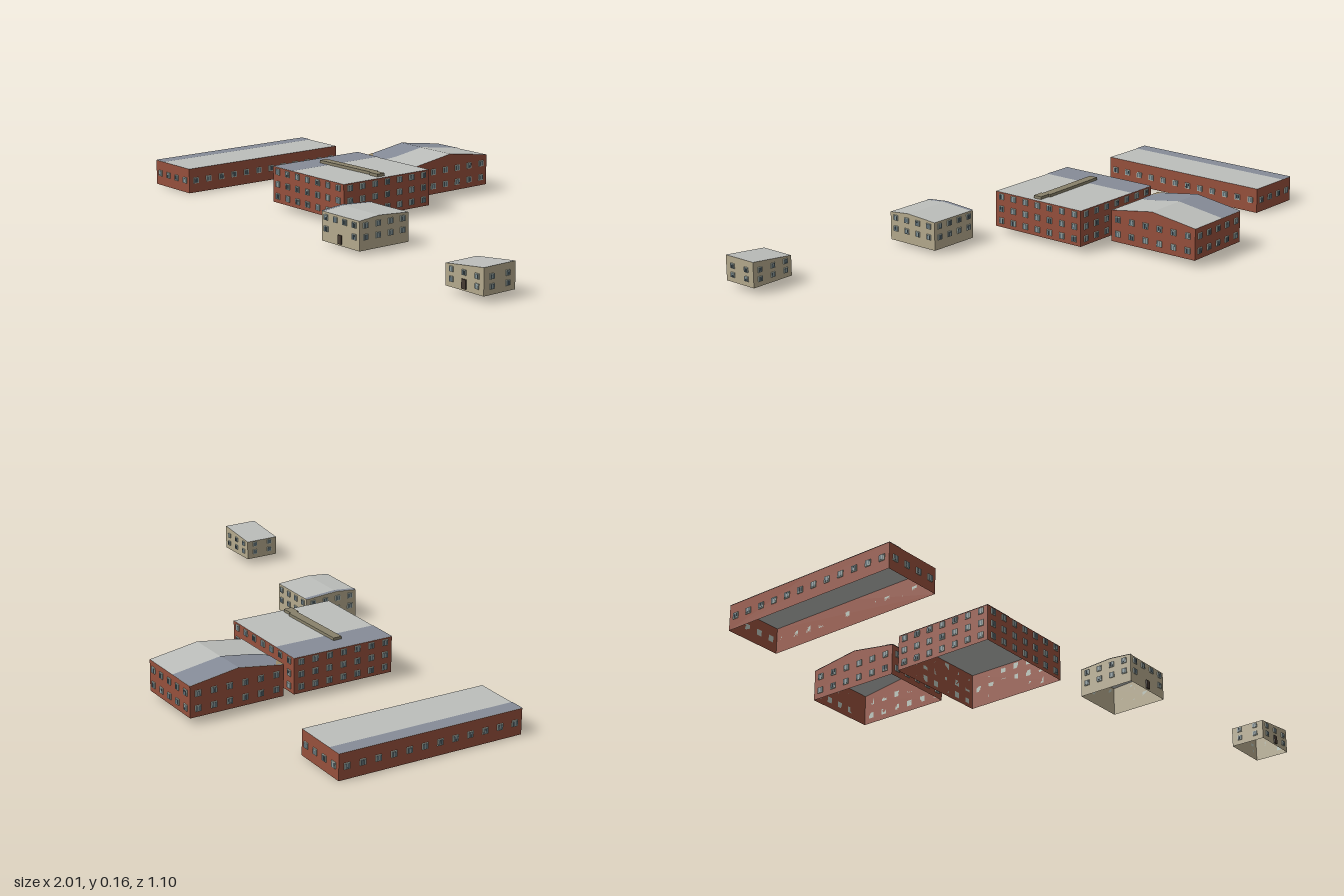
import * as THREE from 'three';

const mat = (name, color, side = THREE.FrontSide) => {
  const m = new THREE.MeshStandardMaterial({ color, side });
  m.name = name;
  return m;
};
const brick = mat('brick', 0x96503c, THREE.DoubleSide);
const cream = mat('cream render', 0xb5aa8d, THREE.DoubleSide);
const roofGrey = mat('roof grey', 0xbcbebb, THREE.DoubleSide);
const slate = mat('roof slate blue', 0x868c98, THREE.DoubleSide);
const tan = mat('roof tan', 0xa08e6c, THREE.DoubleSide);
const olive = mat('duct olive', 0x88816a);
const frame = mat('window frame', 0xb9c4ba);
const glass = mat('window glass', 0x5f7078);
const doorBrown = mat('door brown', 0x463a32);

function addMesh(parent, name, geometry, material, x = 0, y = 0, z = 0) {
  const m = new THREE.Mesh(geometry, material);
  m.name = name;
  m.position.set(x, y, z);
  parent.add(m);
}

const polygon = points => new THREE.Shape(points.map(([x, y]) => new THREE.Vector2(x, y)));
const rect = (x0, y0, x1, y1) => polygon([[x0, y0], [x1, y0], [x1, y1], [x0, y1]]);

// Pale frame with two tall panes
function makeWindow(size) {
  const g = new THREE.Group();
  g.name = 'window';
  addMesh(g, 'windowFrame', new THREE.BoxGeometry(size, size, 0.004), frame);
  const pane = new THREE.BoxGeometry(size * 0.32, size * 0.76, 0.002);
  for (const side of [-1, 1]) addMesh(g, 'windowPane', pane, glass, side * size * 0.21, 0, 0.0018);
  return g;
}

// Hollow building: four windowed walls, open underneath, and a roof in two slopes
function makeBuilding(o) {
  const { width, depth, base, eave, rows } = o;
  const { peak = eave, ridge = 0.5, rise = 0, strip = 0, round = 0 } = o;
  const g = new THREE.Group();
  g.name = o.name;
  g.position.set(o.x, 0, o.z);
  g.rotation.y = -THREE.MathUtils.degToRad(o.turn);

  // Roof height in plan fractions: s runs left to right, t front to back
  const height = (s, t) =>
    eave + rise * s + (peak - eave) * (t < ridge ? t / ridge : (1 - t) / (1 - ridge));

  const addWall = (turns, len, offset, tops, columns, hasDoor) => {
    const wall = new THREE.Group();
    wall.name = 'wall';
    const outline = [[-len / 2, base], [len / 2, base]];
    tops.forEach(([u, y]) => outline.push([(u - 0.5) * len, y]));
    addMesh(wall, 'wallFace', new THREE.ShapeGeometry(polygon(outline)), o.wall);
    rows.forEach((y, row) => {
      for (let i = 0; i < columns; i++) {
        const u = (i + 0.5) / columns - 0.5;
        // the door takes the place of the middle ground-floor windows
        if (hasDoor && row === 0 && Math.abs(u) < 0.2) continue;
        const win = makeWindow(o.window);
        win.position.set(u * len, y, 0.002);
        wall.add(win);
      }
    });
    if (hasDoor) addMesh(wall, 'door', new THREE.BoxGeometry(0.018, 0.03, 0.005), doorBrown, 0, base + 0.021, 0.002);
    const holder = new THREE.Group();
    holder.name = 'wallSide';
    holder.rotation.y = turns * Math.PI / 2;
    wall.position.z = offset;
    holder.add(wall);
    g.add(holder);
  };
  const left = height(0, 0), right = height(1, 0);
  addWall(0, width, depth / 2, [[1, right], [0, left]], o.frontColumns, o.door);
  addWall(1, depth, width / 2, [[1, right], [ridge, height(1, ridge)], [0, right]], o.sideColumns, false);
  addWall(2, width, depth / 2, [[1, left], [0, right]], o.frontColumns, false);
  addWall(3, depth, width / 2, [[1, left], [1 - ridge, height(0, ridge)], [0, left]], o.sideColumns, false);

  // Flat outlines in plan are lifted onto the slopes
  const addRoof = (name, material, shape, lift) => {
    const geo = new THREE.ShapeGeometry(shape);
    const pos = geo.attributes.position;
    for (let i = 0; i < pos.count; i++) {
      const s = pos.getX(i), t = pos.getY(i);
      pos.setXYZ(i, (s - 0.5) * width, height(s, t) + lift, (0.5 - t) * depth);
    }
    geo.computeVertexNormals();
    addMesh(g, name, geo, material);
  };
  addRoof('frontSlope', roofGrey, rect(0, 0, 1, ridge), 0);
  addRoof('backSlope', roofGrey, rect(0, ridge, 1, 1), 0);

  // Darker strip along the left edge, with an optional rounded front end
  if (strip) {
    const front = new THREE.Shape().moveTo(0, 0).lineTo(strip - round, 0);
    if (round) front.quadraticCurveTo(strip, 0, strip, round * 1.5);
    else front.lineTo(strip, 0);
    front.lineTo(strip, ridge).lineTo(0, ridge);
    addRoof('frontStrip', slate, front, 0.0015);
    addRoof('backStrip', slate, rect(0, ridge, strip, 1), 0.0015);
  }
  // Small tan corner
  if (o.corner) addRoof('roofCorner', tan, polygon([[0, 0], [o.corner, 0], [0, o.corner / 2]]), 0.0025);
  return g;
}

// Long low duct along the main roof, stepped near its end
function makeDuct() {
  const g = new THREE.Group();
  g.name = 'roofDuct';
  addMesh(g, 'ductRun', new THREE.BoxGeometry(0.275, 0.01, 0.032), olive, -0.1925, 0.155, 0.041);
  addMesh(g, 'ductEnd', new THREE.BoxGeometry(0.042, 0.01, 0.032), olive, -0.034, 0.155, 0.048);
  return g;
}

export function createModel() {
  const model = new THREE.Group();
  model.name = 'industrialYard';
  model.add(
    makeBuilding({
      name: 'longShed', wall: brick, x: -0.8785, z: -0.046, turn: 2.2, width: 0.215, depth: 0.68,
      base: 0, eave: 0.09, rows: [0.045], window: 0.021, frontColumns: 4, sideColumns: 12, strip: 0.25,
    }),
    makeBuilding({
      name: 'mainBlock', wall: brick, x: -0.195, z: 0.028, turn: 1.8, width: 0.397, depth: 0.383,
      base: 0.021, eave: 0.149, rows: [0.045, 0.089, 0.133], window: 0.021,
      frontColumns: 7, sideColumns: 7, strip: 0.29,
    }),
    makeBuilding({
      name: 'backHall', wall: brick, x: -0.242, z: -0.377, turn: 1, width: 0.268, depth: 0.351,
      base: 0.021, eave: 0.132, peak: 0.158, ridge: 0.49, rows: [0.051, 0.103], window: 0.021,
      frontColumns: 5, sideColumns: 6, strip: 0.42, round: 0.13, corner: 0.17,
    }),
    makeBuilding({
      name: 'creamHouse', wall: cream, x: 0.224, z: 0.328, turn: 2, width: 0.195, depth: 0.207,
      base: 0.011, eave: 0.111, peak: 0.119, ridge: 0.4, rows: [0.055, 0.094], window: 0.019,
      frontColumns: 4, sideColumns: 4, strip: 0.07, door: true,
    }),
    makeBuilding({
      name: 'smallHouse', wall: cream, x: 0.914, z: 0.475, turn: 1.4, width: 0.168, depth: 0.128,
      base: 0.02, eave: 0.09, rise: 0.018, rows: [0.046, 0.077], window: 0.017,
      frontColumns: 3, sideColumns: 2, door: true,
    }),
    makeDuct(),
  );
  return model;
}
